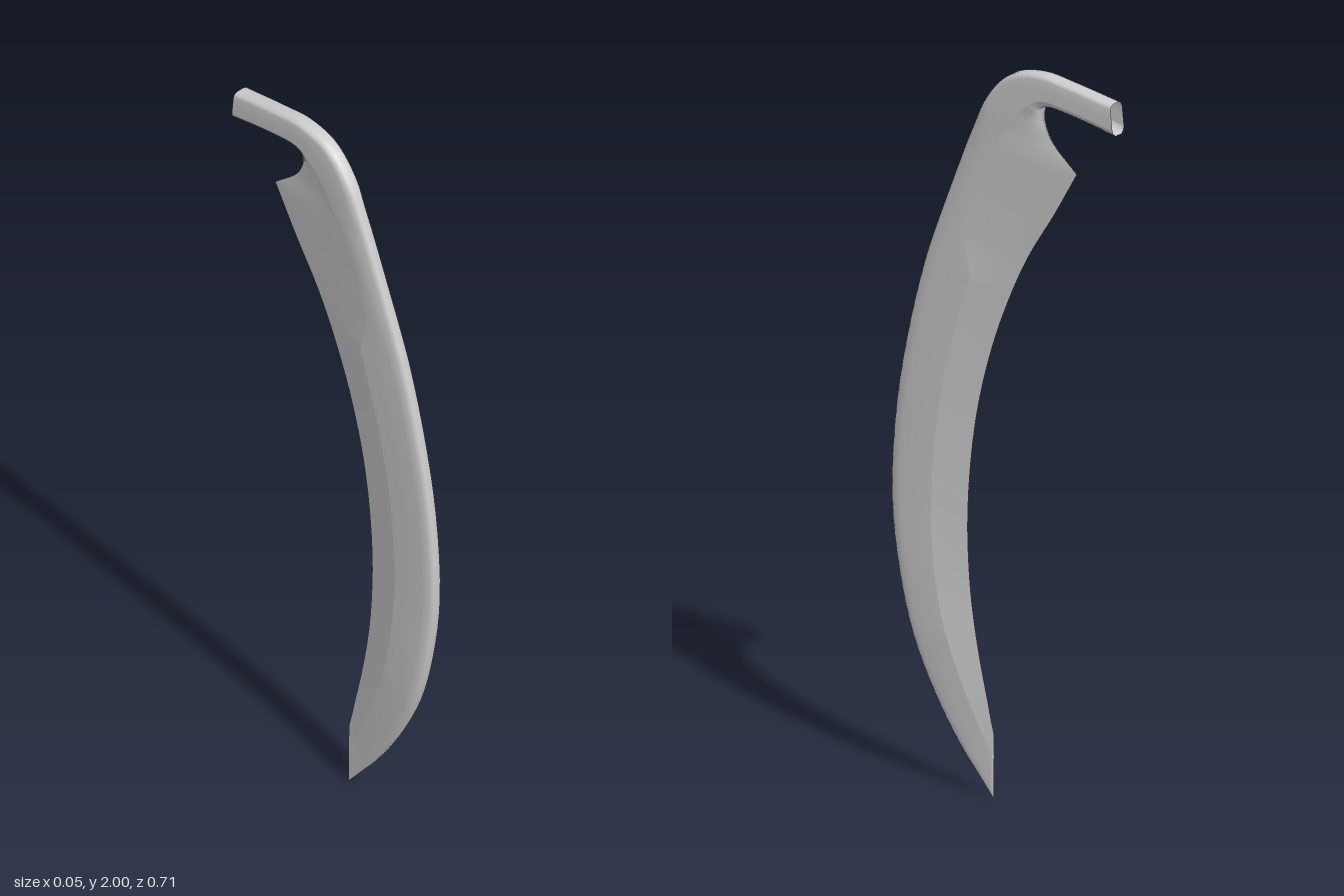
import * as THREE from 'three';

// Cross-sections from tip to tang:
// spine z, spine y, edge z, edge y, half thickness, ridge position (0 spine - 1 edge), edge thickness ratio
const BLADE = [
  [0.04, 0, 0.04, 0.175, 0.002, 0.6, 0],
  [0.09, 0.06, 0.05, 0.215, 0.005, 0.6, 0],
  [0.14, 0.12, 0.06, 0.26, 0.009, 0.6, 0],
  [0.217, 0.24, 0.083, 0.36, 0.016, 0.58, 0],
  [0.286, 0.386, 0.102, 0.46, 0.022, 0.56, 0],
  [0.328, 0.545, 0.116, 0.57, 0.023, 0.55, 0],
  [0.353, 0.74, 0.122, 0.76, 0.021, 0.55, 0],
  [0.339, 0.995, 0.097, 1.01, 0.021, 0.55, 0],
  [0.296, 1.23, 0.045, 1.22, 0.021, 0.55, 0],
  [0.245, 1.42, -0.02, 1.39, 0.021, 0.53, 0],
  [0.217, 1.5, -0.074, 1.5, 0.021, 0.3, 0],
  [0.175, 1.61, -0.148, 1.62, 0.021, 0.22, 0],
  [0.12, 1.75, -0.222, 1.75, 0.022, 0.22, 0],
];
const HOOK = [
  BLADE[BLADE.length - 1],
  [0.09, 1.82, -0.143, 1.82, 0.023, 0.4, 0.1],
  [0.063, 1.88, -0.116, 1.87, 0.024, 0.6, 0.3],
  [0.02, 1.94, -0.113, 1.893, 0.024, 0.75, 0.5],
  [-0.03, 1.98, -0.117, 1.907, 0.024, 0.8, 0.55],
  [-0.116, 2.0, -0.135, 1.916, 0.024, 0.8, 0.55],
  [-0.2, 1.993, -0.222, 1.911, 0.024, 0.8, 0.55],
  [-0.345, 1.974, -0.354, 1.89, 0.024, 0.8, 0.55],
];

// Smoothly resample a run of sections
function resample(sections, perSpan) {
  const spline = (pick) => new THREE.CatmullRomCurve3(sections.map((s) => new THREE.Vector3(...pick(s))));
  const spine = spline((s) => [0, s[1], s[0]]);
  const edge = spline((s) => [0, s[3], s[2]]);
  const n = (sections.length - 1) * perSpan;
  return Array.from({ length: n + 1 }, (_, k) => {
    const i = Math.min(Math.floor(k / perSpan), sections.length - 2);
    const f = k / perSpan - i;
    const [w, ridge, edgeW] = [4, 5, 6].map((c) => THREE.MathUtils.lerp(sections[i][c], sections[i + 1][c], f));
    return { spine: spine.getPoint(k / n), edge: edge.getPoint(k / n), w, ridge, edgeW };
  });
}

// Closed ring: +x side from spine to edge, then mirrored back
function ring({ spine, edge, w, ridge, edgeW }) {
  const side = [
    [0, 0.5], [0.05, 0.85], [0.14, 1], [(0.14 + ridge) / 2, 1], [ridge, 1],
    [ridge + 0.06 * (1 - ridge), 1 - 0.06 * (1 - edgeW)],
    [(1 + ridge) / 2, edgeW > 0 ? (1 + edgeW) / 2 + edgeW * 0.2 : 0.5],
    [1, edgeW],
  ].map(([t, k]) => spine.clone().lerp(edge, t).setX(w * k));
  return [...side, ...side.map((p) => p.clone().setX(-p.x)).reverse()];
}

function loft(rings) {
  const m = rings[0].length;
  const index = [];
  for (let i = 0; i < rings.length - 1; i++) {
    for (let j = 0; j < m; j++) {
      const a = i * m + j, b = i * m + ((j + 1) % m);
      index.push(a, b, a + m, b, b + m, a + m);
    }
  }
  // Close the tip; the tang end stays open
  const half = m / 2;
  for (let j = 0; j < half - 1; j++) {
    const a = j, b = j + 1, c = m - 1 - j, d = m - 2 - j;
    index.push(a, c, b, b, c, d);
  }
  const geometry = new THREE.BufferGeometry().setFromPoints(rings.flat());
  geometry.setIndex(index);
  geometry.computeVertexNormals();
  return geometry;
}

export function createModel() {
  const group = new THREE.Group();
  group.name = 'curvedBlade';
  const material = new THREE.MeshStandardMaterial({ color: 0xcccccc, side: THREE.DoubleSide });

  // Blade with spine, bevelled edge, notch and hooked tang in one skin
  const sections = [...resample(BLADE, 4), ...resample(HOOK, 5).slice(1)];
  const blade = new THREE.Mesh(loft(sections.map(ring)), material);
  blade.name = 'bladeAndTang';
  group.add(blade);
  return group;
}
